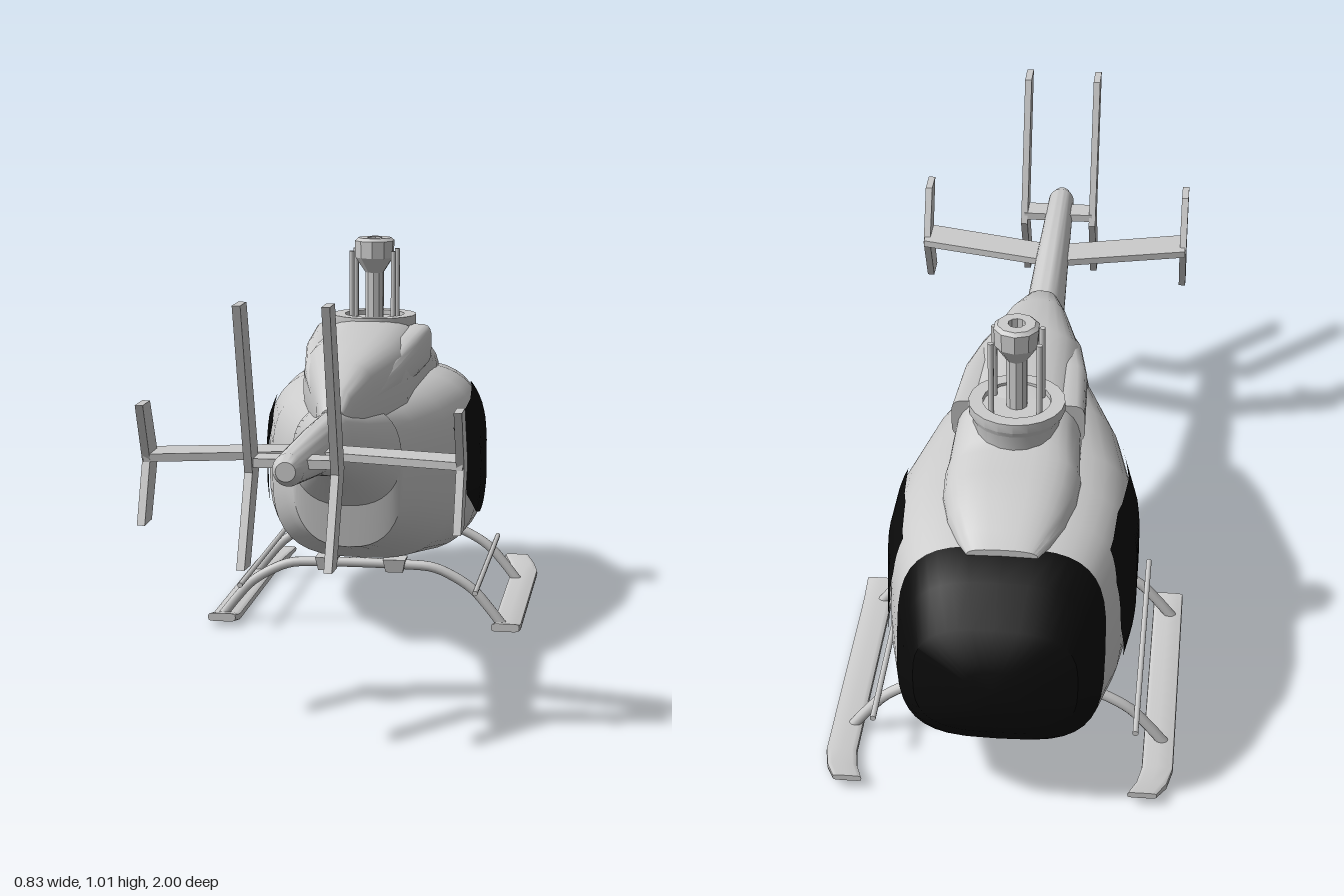
import * as THREE from 'three';
import { toCreasedNormals } from 'three/addons/utils/BufferGeometryUtils.js';

const grey = new THREE.MeshStandardMaterial({ color: 0xcccccc });
const black = new THREE.MeshStandardMaterial({ color: 0x0a0a0a });
const V = (x, y, z) => new THREE.Vector3(x, y, z);

function add(parent, name, geometry, material = grey) {
  const mesh = new THREE.Mesh(geometry, material);
  mesh.name = name;
  parent.add(mesh);
  return mesh;
}

// Station: [z at top, z at bottom, bottom y, top y, half width, roundness, centre x]
function loft(stations, count = 32, crease = 0.6) {
  const pos = [], idx = [];
  const root = (v, n) => Math.sign(v) * Math.pow(Math.abs(v), 2 / n);
  for (const [zt, zb, yb, yt, w, n, cx = 0] of stations) {
    for (let j = 0; j < count; j++) {
      const a = (j / count) * Math.PI * 2;
      const v = root(Math.sin(a), n);
      pos.push(cx + w * root(Math.cos(a), n), (yb + yt) / 2 + v * (yt - yb) / 2, zb + (zt - zb) * (v + 1) / 2);
    }
  }
  const last = stations.length - 1;
  for (let i = 0; i < last; i++) for (let j = 0; j < count; j++) {
    const k = (j + 1) % count, a = i * count, b = a + count;
    idx.push(a + j, a + k, b + k, a + j, b + k, b + j);
  }
  // end caps
  for (const i of [0, last]) {
    const [zt, zb, yb, yt, , , cx = 0] = stations[i];
    const c = pos.length / 3;
    pos.push(cx, (yb + yt) / 2, (zt + zb) / 2);
    for (let j = 0; j < count; j++) {
      const p = i * count + j, q = i * count + (j + 1) % count;
      if (i === 0) idx.push(c, q, p); else idx.push(c, p, q);
    }
  }
  const g = new THREE.BufferGeometry();
  g.setAttribute('position', new THREE.Float32BufferAttribute(pos, 3));
  g.setIndex(idx);
  return toCreasedNormals(g, crease);
}

// Windscreen shares its last station with the cabin
const screenEdge = [-0.76, -0.89, 0.18, 0.625, 0.238, 3.4];
const nose = [
  [-0.99, -1.0, 0.34, 0.45, 0.07, 2.6],
  [-0.945, -0.965, 0.26, 0.53, 0.185, 3],
  [-0.86, -0.92, 0.205, 0.6, 0.215, 3.2],
  screenEdge,
];
const hull = [
  screenEdge,
  [-0.67, -0.74, 0.15, 0.65, 0.268, 3.4],
  [-0.55, -0.57, 0.14, 0.662, 0.288, 3.4],
  [-0.4, -0.4, 0.155, 0.662, 0.286, 3.3],
  [-0.18, -0.18, 0.19, 0.66, 0.238, 3],
  [-0.02, -0.02, 0.25, 0.652, 0.178, 2.7],
  [0.065, 0.065, 0.275, 0.648, 0.142, 2.5],
  [0.08, 0.08, 0.385, 0.648, 0.138, 2.4],
  [0.2, 0.2, 0.455, 0.655, 0.09, 2.2],
  [0.33, 0.33, 0.51, 0.668, 0.052, 2],
  [0.57, 0.57, 0.56, 0.675, 0.045, 2],
  [0.92, 0.92, 0.605, 0.678, 0.035, 2],
  [0.955, 0.955, 0.622, 0.665, 0.022, 2],
];

// Half width of the hull at a given height and length
function hullX(y, z) {
  const at = ([zt, zb, yb, yt, w, n]) => {
    const t = THREE.MathUtils.clamp((y - yb) / (yt - yb), 0, 1);
    return [zb + (zt - zb) * t, w * Math.pow(1 - Math.pow(Math.abs(2 * t - 1), n), 1 / n)];
  };
  for (let i = 0; i < hull.length - 1; i++) {
    const [z0, x0] = at(hull[i]), [z1, x1] = at(hull[i + 1]);
    if (z <= z1) return x0 + (x1 - x0) * (z - z0) / (z1 - z0);
  }
  return 0;
}

// Door window: rings of an outline [z, y] laid on the hull
function windowGeometry(side) {
  const outline = [[-0.2, 0.54], [-0.4, 0.585], [-0.57, 0.605], [-0.69, 0.585], [-0.73, 0.52],
    [-0.735, 0.4], [-0.7, 0.29], [-0.57, 0.24], [-0.4, 0.275], [-0.29, 0.345]];
  const border = outline.flatMap(([z, y], i) => {
    const [z2, y2] = outline[(i + 1) % outline.length];
    return [0, 0.25, 0.5, 0.75].map(t => [z + (z2 - z) * t, y + (y2 - y) * t]);
  });
  const pos = [], idx = [], rings = 10, m = border.length;
  for (let r = 0; r <= rings; r++) for (const [bz, by] of border) {
    const z = -0.52 + (bz + 0.52) * r / rings, y = 0.42 + (by - 0.42) * r / rings;
    pos.push(side * (hullX(y, z) + 0.007), y, z);
  }
  for (let r = 0; r < rings; r++) for (let j = 0; j < m; j++) {
    const a = r * m + j, b = r * m + (j + 1) % m, c = a + m, d = b + m;
    if (side > 0) idx.push(a, d, c, a, b, d); else idx.push(a, c, d, a, d, b);
  }
  const g = new THREE.BufferGeometry();
  g.setAttribute('position', new THREE.Float32BufferAttribute(pos, 3));
  g.setIndex(idx);
  g.computeVertexNormals();
  return g;
}

// Upright fin from a [z, y] outline
function finGeometry(points, thick) {
  const shape = new THREE.Shape(points.map(([z, y]) => new THREE.Vector2(-z, y)));
  return new THREE.ExtrudeGeometry(shape, { depth: thick, bevelEnabled: false })
    .translate(0, 0, -thick / 2).rotateY(Math.PI / 2);
}

function rod(parent, name, r, length, x, y, z, alongZ = false) {
  const g = new THREE.CylinderGeometry(r, r, length, 10);
  if (alongZ) g.rotateX(Math.PI / 2);
  add(parent, name, g).position.set(x, y, z);
}

export function createModel() {
  const model = new THREE.Group();
  model.name = 'helicopter';
  const body = new THREE.Group();
  body.name = 'airframe';
  body.position.x = -0.012;
  model.add(body);

  add(body, 'windscreen', loft(nose, 40), black);
  add(body, 'fuselage', loft(hull, 40));

  // Roof and engine cowling
  const roof = [
    [-0.785, 0.6, 0.635, 0.08], [-0.75, 0.57, 0.665, 0.105], [-0.69, 0.54, 0.702, 0.135], [-0.61, 0.52, 0.726, 0.155],
    [-0.53, 0.52, 0.733, 0.16], [-0.5, 0.52, 0.745, 0.155], [-0.44, 0.52, 0.79, 0.15], [-0.36, 0.52, 0.803, 0.148],
    [-0.07, 0.53, 0.79, 0.135], [0.14, 0.56, 0.757, 0.08], [0.27, 0.59, 0.71, 0.045], [0.31, 0.6, 0.67, 0.03],
  ];
  add(body, 'engineCowling', loft(roof.map(([z, yb, yt, w]) => [z, z, yb, yt, w, 2.8])));

  // Rotor collar, mast and hub
  const lathe = (pts, n) => toCreasedNormals(
    new THREE.LatheGeometry(pts.map(p => new THREE.Vector2(...p)), n), 0.5);
  const mast = new THREE.Group();
  mast.name = 'rotorMast';
  mast.position.z = -0.425;
  body.add(mast);
  add(mast, 'collar', lathe([[0.1, 0.69], [0.105, 0.77], [0.113, 0.785], [0.113, 0.808], [0.08, 0.808], [0.08, 0.795], [0, 0.795]], 20));
  add(mast, 'shaftAndHub', lathe([[0.025, 0.74], [0.025, 0.92], [0.052, 0.96], [0.054, 1.005],
    [0.045, 1.013], [0.02, 1.013], [0.02, 0.99], [0, 0.99]], 10));
  for (const x of [-0.056, 0.056]) for (const z of [-0.04, 0.04]) rod(mast, 'controlRod', 0.007, 0.2, x, 0.88, z);

  // Tail: stabiliser with end fins, twin main fins on a cross bar
  const endFin = [[0.81, 0.755], [0.74, 0.755], [0.67, 0.62], [0.74, 0.483], [0.81, 0.483], [0.75, 0.62]];
  const mainFin = [[1.0, 1.005], [0.93, 1.005], [0.8, 0.625], [0.91, 0.425], [0.98, 0.43], [0.88, 0.625]];
  const plan = new THREE.Shape([[0, 0.57], [0.36, 0.655], [0.36, 0.755], [0, 0.665], [-0.36, 0.755], [-0.36, 0.655]]
    .map(p => new THREE.Vector2(...p)));
  add(body, 'stabiliser', new THREE.ExtrudeGeometry(plan, { depth: 0.018, bevelEnabled: false })
    .rotateX(Math.PI / 2)).position.y = 0.635;
  add(body, 'finCrossBar', new THREE.BoxGeometry(0.19, 0.02, 0.065)).position.set(0, 0.645, 0.84);

  for (const s of [-1, 1]) {
    add(body, 'doorWindow', windowGeometry(s), black);
    add(body, 'stabiliserFin', finGeometry(endFin, 0.018)).position.x = s * 0.354;
    add(body, 'mainTailFin', finGeometry(mainFin, 0.018)).position.x = s * 0.095;

    // Engine intake bulges
    add(body, 'engineIntake', loft([
      [-0.405, -0.39, 0.675, 0.785, 0.045, 4, s * 0.113],
      [-0.2, -0.2, 0.665, 0.775, 0.045, 3, s * 0.105],
      [-0.03, -0.03, 0.66, 0.745, 0.035, 2.5, s * 0.09],
      [0.12, 0.12, 0.65, 0.7, 0.02, 2, s * 0.065]], 20));

    // Skid with upturned ends and inward toe
    add(model, 'skid', loft([
      [-0.895, -0.895, 0.03, 0.045, 0.034, 5, s * 0.345],
      [-0.84, -0.84, 0.01, 0.034, 0.036, 5, s * 0.365],
      [-0.78, -0.78, 0.006, 0.028, 0.037, 5, s * 0.376],
      [-0.18, -0.18, 0.006, 0.028, 0.037, 5, s * 0.376],
      [-0.11, -0.11, 0.02, 0.042, 0.037, 5, s * 0.376]], 16));
    rod(body, 'stepRail', 0.007, 0.69, s * 0.31, 0.125, -0.435, true);
  }

  // Arched cross tubes with clamps
  const half = [[0.375, 0.02], [0.34, 0.065], [0.295, 0.115], [0.24, 0.15], [0.19, 0.17], [0.12, 0.175]];
  for (const z of [-0.68, -0.18]) {
    const pts = [...half.map(([x, y]) => V(-x, y, z)), ...half.slice().reverse().map(([x, y]) => V(x, y, z))];
    add(body, 'crossTube', new THREE.TubeGeometry(new THREE.CatmullRomCurve3(pts), 48, 0.013, 10));
    for (const x of [-0.09, 0.09]) {
      const clamp = new THREE.CylinderGeometry(0.042, 0.032, 0.035, 4).rotateY(Math.PI / 4);
      add(body, 'tubeClamp', toCreasedNormals(clamp, 0.3)).position.set(x, 0.175, z);
    }
  }
  return model;
}
